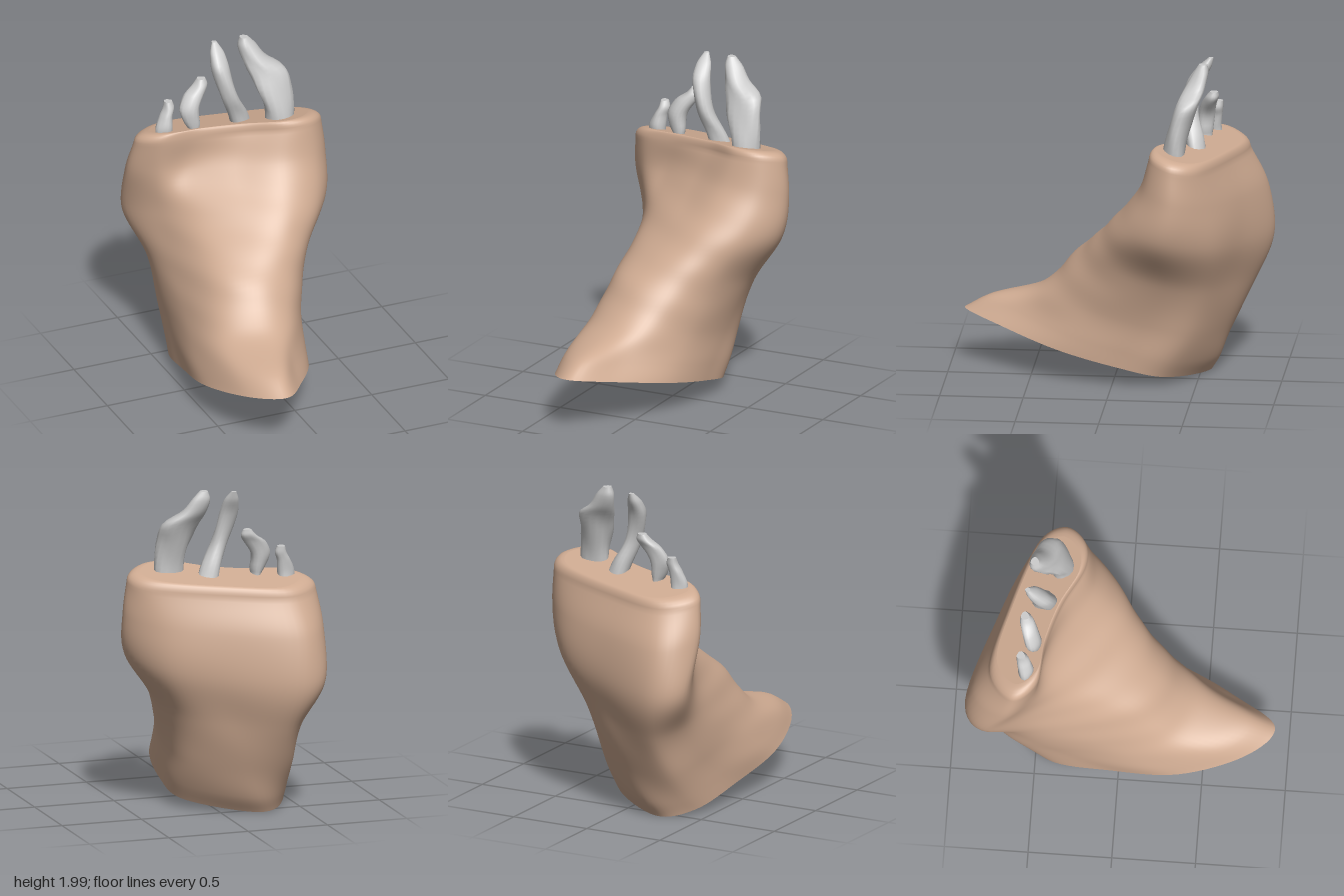
import * as THREE from 'three';

const skin = new THREE.MeshStandardMaterial({ color: 0xcfab92, roughness: 0.9 });
const bone = new THREE.MeshStandardMaterial({ color: 0xcccccc });

// Both cuts lie on parallel planes y = level + TILT * z
const TILT = 0.228;

// Each section: level, then ten (x, z) points from the front tip round by +x
const SECTIONS = [
  [0.138, -0.23, 0.92, -0.04, 0.69, 0.16, 0.34, 0.22, -0.02, 0.17, -0.32, -0.22, -0.56, -0.42, -0.42, -0.49, -0.05, -0.52, 0.36, -0.41, 0.75],
  [0.25, -0.22, 0.78, -0.04, 0.58, 0.17, 0.27, 0.23, -0.08, 0.19, -0.37, -0.17, -0.61, -0.4, -0.52, -0.48, -0.18, -0.51, 0.2, -0.42, 0.6],
  [0.45, -0.18, 0.43, 0.03, 0.37, 0.2, 0.13, 0.26, -0.2, 0.2, -0.47, -0.1, -0.66, -0.37, -0.66, -0.46, -0.4, -0.48, 0, -0.4, 0.3],
  [0.75, -0.12, 0.2, 0.12, 0.17, 0.29, 0, 0.35, -0.29, 0.25, -0.55, -0.02, -0.72, -0.34, -0.82, -0.47, -0.63, -0.45, -0.3, -0.34, 0.06],
  [1.05, -0.05, -0.08, 0.19, -0.01, 0.42, -0.1, 0.54, -0.34, 0.38, -0.61, 0.05, -0.77, -0.38, -0.92, -0.56, -0.79, -0.45, -0.5, -0.3, -0.25],
  [1.33, -0.03, -0.32, 0.23, -0.19, 0.46, -0.22, 0.57, -0.39, 0.41, -0.6, 0.05, -0.76, -0.4, -0.88, -0.58, -0.69, -0.46, -0.51, -0.27, -0.45],
  [1.53, 0.05, -0.37, 0.28, -0.25, 0.45, -0.26, 0.55, -0.39, 0.44, -0.55, 0.02, -0.7, -0.36, -0.78, -0.55, -0.64, -0.45, -0.49, -0.2, -0.45],
];

// Bones: each row is x, y, z, half width, half depth
const BONES = {
  firstBone: [[0.29, 1.4, -0.38, 0.085, 0.065], [0.285, 1.55, -0.39, 0.09, 0.065], [0.265, 1.68, -0.42, 0.105, 0.065],
    [0.245, 1.79, -0.46, 0.115, 0.065], [0.175, 1.87, -0.5, 0.075, 0.06], [0.135, 1.95, -0.53, 0.055, 0.045], [0.12, 2, -0.54, 0.025, 0.025]],
  secondBone: [[0.09, 1.4, -0.5, 0.065, 0.06], [0.05, 1.53, -0.48, 0.06, 0.055], [-0.01, 1.67, -0.45, 0.05, 0.05],
    [-0.055, 1.84, -0.48, 0.055, 0.05], [-0.06, 1.93, -0.53, 0.045, 0.04], [-0.06, 1.99, -0.57, 0.015, 0.015]],
  thirdBone: [[-0.2, 1.39, -0.52, 0.045, 0.045], [-0.22, 1.49, -0.52, 0.045, 0.045], [-0.235, 1.59, -0.53, 0.06, 0.05],
    [-0.195, 1.67, -0.55, 0.065, 0.045], [-0.15, 1.72, -0.57, 0.045, 0.04], [-0.14, 1.755, -0.58, 0.025, 0.025]],
  fourthBone: [[-0.385, 1.4, -0.57, 0.05, 0.04], [-0.385, 1.48, -0.56, 0.052, 0.045], [-0.37, 1.55, -0.57, 0.04, 0.042],
    [-0.35, 1.6, -0.58, 0.034, 0.036], [-0.35, 1.64, -0.59, 0.024, 0.025]],
};

// Skin closed rings (ordered from +z towards +x) and cap both ends flat
function loft(rings) {
  const n = rings[0].length, pos = [], index = [];
  const add = (p) => pos.push(p.x, p.y, p.z) / 3 - 1;
  rings.forEach((r) => r.forEach(add));
  for (let i = 0; i < rings.length - 1; i++) {
    for (let j = 0; j < n; j++) {
      const a = i * n + j, b = i * n + (j + 1) % n;
      index.push(a, b, b + n, a, b + n, a + n);
    }
  }
  [[rings[0], true], [rings[rings.length - 1], false]].forEach(([ring, down]) => {
    const centre = new THREE.Vector3();
    ring.forEach((p) => centre.addScaledVector(p, 1 / n));
    const c = add(centre), start = c + 1;
    ring.forEach(add);
    for (let j = 0; j < n; j++) {
      const a = start + j, b = start + (j + 1) % n;
      if (down) index.push(c, b, a);
      else index.push(c, a, b);
    }
  });
  const g = new THREE.BufferGeometry();
  g.setAttribute('position', new THREE.Float32BufferAttribute(pos, 3));
  g.setIndex(index);
  g.computeVertexNormals();
  return g;
}

// Smooth the sections around and along, with faint skin folds and a rounded top rim
function fleshGeometry() {
  const around = 80, along = 60, rimSteps = 6;
  const outlines = SECTIONS.map(([level, ...v]) => {
    const pts = [];
    for (let k = 0; k < v.length; k += 2) pts.push(new THREE.Vector3(v[k], level, v[k + 1]));
    const curve = new THREE.CatmullRomCurve3(pts, true, 'catmullrom', 0.5);
    return Array.from({ length: around }, (_, j) => curve.getPoint(j / around));
  });
  const columns = Array.from({ length: around }, (_, j) =>
    new THREE.CatmullRomCurve3(outlines.map((o) => o[j]), false, 'centripetal'));
  const rings = [];
  for (let i = 0; i <= along; i++) {
    const t = i / along, fade = Math.sin(Math.PI * t);
    rings.push(columns.map((col, j) => {
      const p = col.getPoint(t), a = (j / around) * Math.PI * 2;
      const front = Math.max(0, Math.cos(a));
      const fold = 0.003 * fade * (Math.sin(p.y * 13 + 2 * Math.sin(a * 2)) + front * Math.sin(p.y * 30 + a * 3));
      p.x += Math.sin(a) * fold;
      p.z += Math.cos(a) * fold;
      return p;
    }));
  }
  const edge = rings[along], middle = new THREE.Vector3(0.03, 1.53, -0.5);
  for (let i = 1; i <= rimSteps; i++) {
    const a = (i / rimSteps) * Math.PI / 2;
    rings.push(edge.map((p) => {
      const q = p.clone().lerp(middle, 0.15 * (1 - Math.cos(a)));
      q.y += 0.06 * Math.sin(a);
      return q;
    }));
  }
  rings.flat().forEach((p) => { p.y += TILT * p.z; });
  return loft(rings);
}

// Knobbly bone: elliptical rings along a bent path
function boneGeometry(rows, seed) {
  const path = new THREE.CatmullRomCurve3(rows.map((r) => new THREE.Vector3(r[0], r[1], r[2])));
  const size = new THREE.CatmullRomCurve3(rows.map((r) => new THREE.Vector3(r[3], r[4], 0)));
  const rings = [], steps = 22, sides = 16;
  for (let i = 0; i <= steps; i++) {
    const p = path.getPoint(i / steps), s = size.getPoint(i / steps);
    rings.push(Array.from({ length: sides }, (_, j) => {
      const a = (j / sides) * Math.PI * 2;
      const k = 1 + 0.09 * Math.sin(a * 3 + p.y * 14 + seed);
      return new THREE.Vector3(p.x + Math.sin(a) * s.x * k, p.y, p.z + Math.cos(a) * s.y * k);
    }));
  }
  return loft(rings);
}

export function createModel() {
  const model = new THREE.Group();
  model.name = 'severedFoot';
  const add = (name, geometry, material) => {
    const mesh = new THREE.Mesh(geometry, material);
    mesh.name = name;
    model.add(mesh);
  };
  add('flesh', fleshGeometry(), skin);
  Object.entries(BONES).forEach(([name, rows], i) => add(name, boneGeometry(rows, i * 1.7), bone));
  return model;
}
